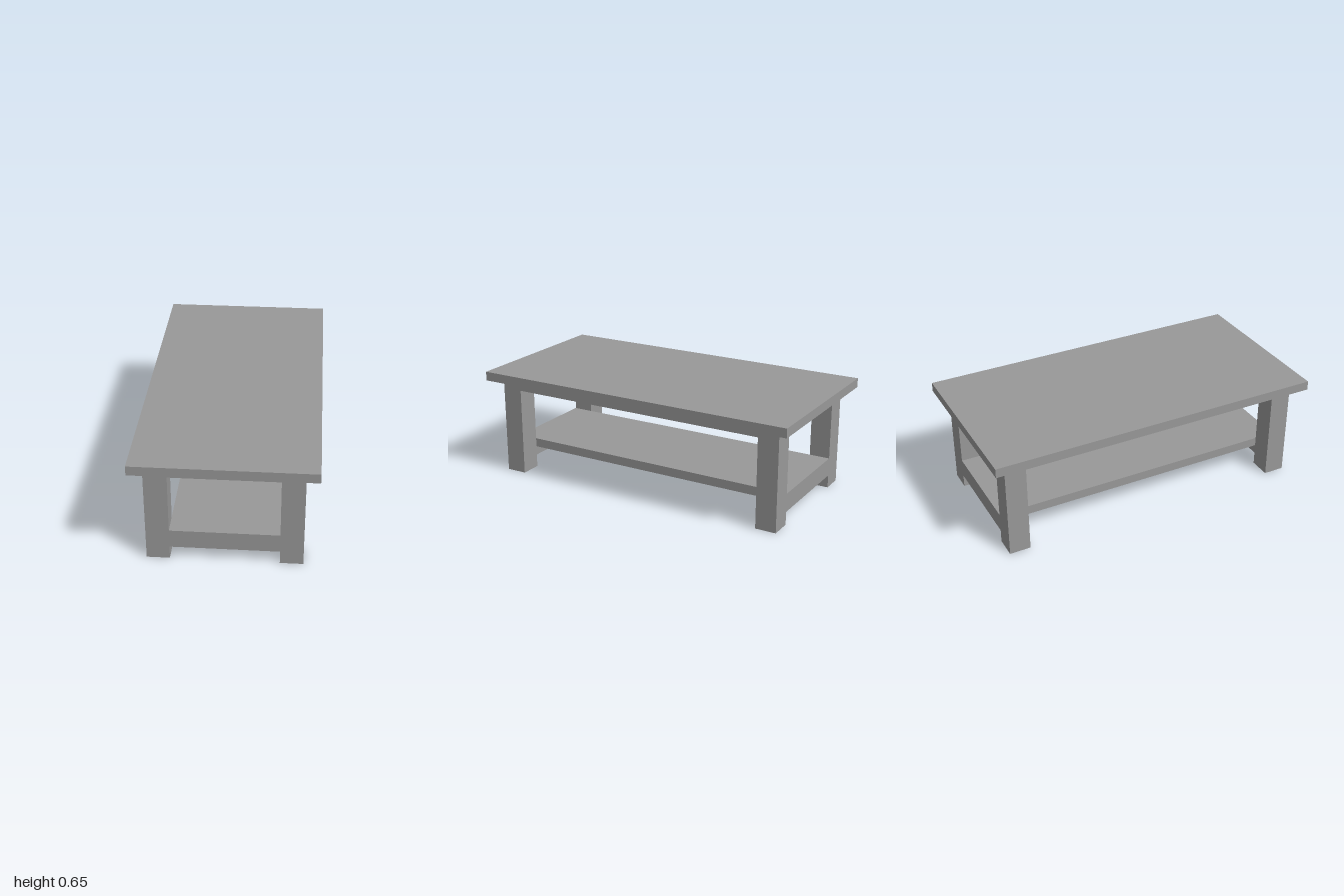
import * as THREE from 'three';

const material = new THREE.MeshStandardMaterial({ color: 0x999999 });

// Box given by its lower and upper limits on each axis
function box(name, [x0, x1], [y0, y1], [z0, z1]) {
  const mesh = new THREE.Mesh(new THREE.BoxGeometry(x1 - x0, y1 - y0, z1 - z0), material);
  mesh.name = name;
  mesh.position.set((x0 + x1) / 2, (y0 + y1) / 2, (z0 + z1) / 2);
  return mesh;
}

// Limits of a span on the positive or negative side of an axis
const side = (s, inner, outer) => (s > 0 ? [inner, outer] : [-outer, -inner]);

export function createModel() {
  const table = new THREE.Group();
  table.name = 'coffeeTable';

  const topY = [0.593, 0.648], apronY = [0.538, 0.593];
  const shelfY = [0.134, 0.188], railY = [0.078, 0.188];
  const inX = 0.305, outX = 0.435; // leg limits across
  const inZ = 0.8, outZ = 0.925;   // leg limits along

  table.add(box('tableTop', [-0.509, 0.509], topY, [-1, 1]));
  table.add(box('lowerShelf', [-inX, inX], shelfY, [-inZ, inZ]));

  for (const s of [1, -1]) {
    const end = s > 0 ? 'front' : 'back';
    const flank = s > 0 ? 'left' : 'right';

    // Rails across each end, flush with the legs
    table.add(box(end + 'Apron', [-inX, inX], apronY, side(s, inZ, outZ)));
    table.add(box(end + 'LowerRail', [-inX, inX], railY, side(s, inZ, outZ)));

    // Long apron under the top
    table.add(box(flank + 'Apron', side(s, inX, outX), apronY, [-inZ, inZ]));

    // Legs at this end
    for (const t of [1, -1]) {
      const name = end + (t > 0 ? 'Left' : 'Right') + 'Leg';
      table.add(box(name, side(t, inX, outX), [0, topY[0]], side(s, inZ, outZ)));
    }
  }
  return table;
}
